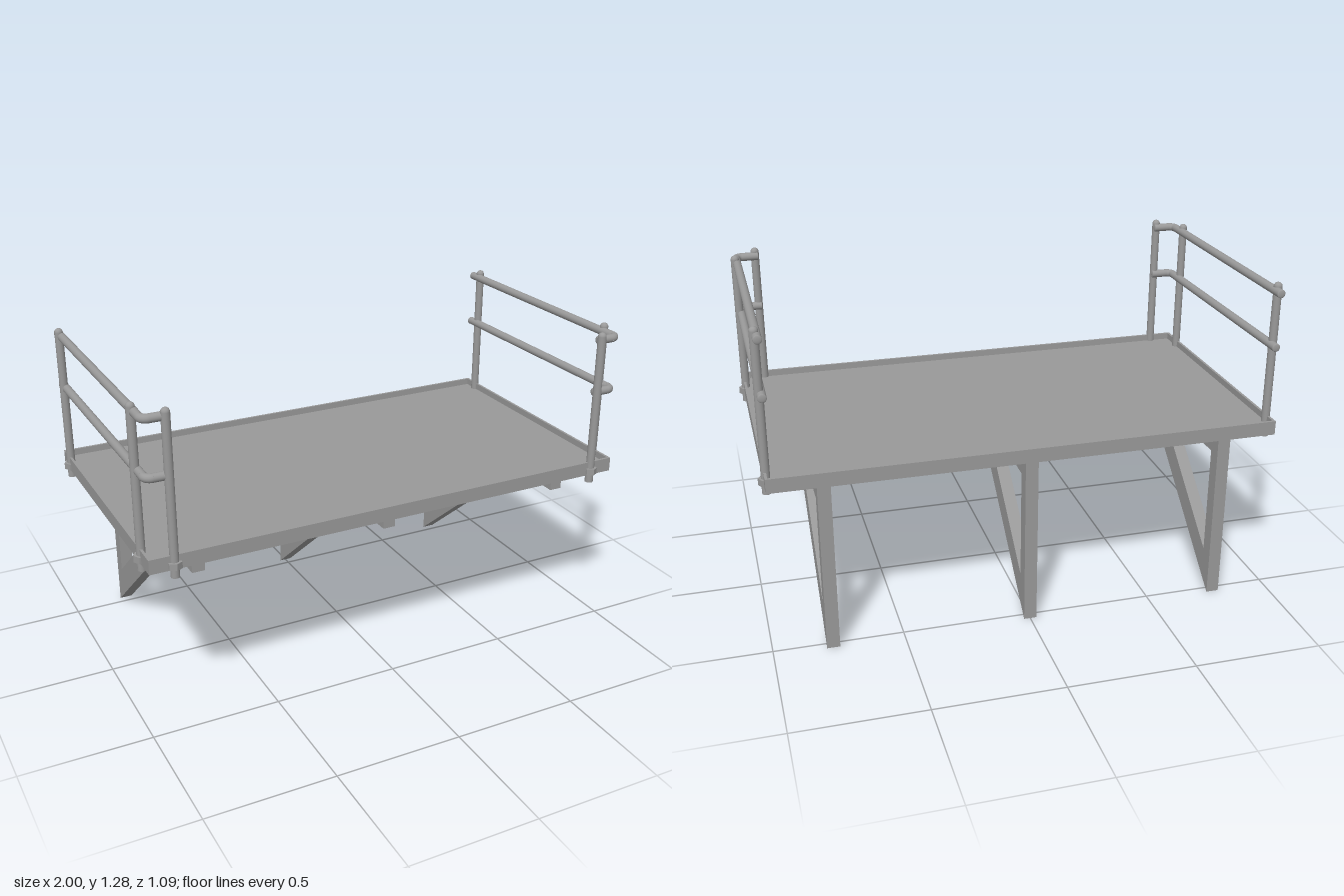
import * as THREE from 'three';

const steel = new THREE.MeshStandardMaterial({ color: 0x999999 });
steel.name = 'grey steel';

const R = 0.0165; // pipe radius
const POST_TOP = 1.264, POST_BOTTOM = 0.652;

function add(parent, name, geometry, x = 0, y = 0, z = 0) {
  const mesh = new THREE.Mesh(geometry, steel);
  mesh.name = name;
  mesh.position.set(x, y, z);
  parent.add(mesh);
  return mesh;
}

// Upright pipe with domed top and a hexagonal nut at deck level
function post(parent, x, z, nutTurn) {
  const g = new THREE.Group();
  g.name = 'railPost';
  g.position.set(x, 0, z);
  const h = POST_TOP - POST_BOTTOM;
  add(g, 'postPipe', new THREE.CylinderGeometry(R, R, h, 20), 0, POST_BOTTOM + h / 2, 0);
  add(g, 'postCap', new THREE.SphereGeometry(R, 20, 12), 0, POST_TOP, 0);
  const nutShape = new THREE.CylinderGeometry(0.028, 0.028, 0.026, 6).toNonIndexed();
  nutShape.computeVertexNormals();
  add(g, 'postNut', nutShape, 0, 0.7, 0).rotation.y = nutTurn;
  parent.add(g);
}

// Side rail with a rounded elbow and a short return along the front
function rail(parent, side, y) {
  const g = new THREE.Group();
  g.name = 'handRail';
  const x = 0.964, z = 0.51, bend = 0.025, back = -0.52, inner = 0.875;
  const long = z - bend - back, short = x - bend - inner;
  add(g, 'longRail', new THREE.CylinderGeometry(R, R, long, 20), side * x, y, back + long / 2).rotation.x = Math.PI / 2;
  add(g, 'returnRail', new THREE.CylinderGeometry(R, R, short, 20), side * (inner + short / 2), y, z).rotation.z = Math.PI / 2;
  const elbow = new THREE.TorusGeometry(bend, R, 16, 10, Math.PI / 2);
  elbow.rotateX(Math.PI / 2);
  if (side < 0) elbow.rotateY(-Math.PI / 2);
  add(g, 'railElbow', elbow, side * (x - bend), y, z - bend);
  // Rounded ends of the pipe
  for (const [ex, ez] of [[x, back], [inner, z]]) {
    const end = add(g, 'railEnd', new THREE.SphereGeometry(R, 20, 12), side * ex, y, ez);
    if (ez === back) end.scale.z = 0.25;
    else end.scale.x = 0.25;
  }
  parent.add(g);
}

function rectangle(Type, x, z0, z1) {
  const s = new Type();
  s.moveTo(-x, z0);
  s.lineTo(x, z0);
  s.lineTo(x, z1);
  s.lineTo(-x, z1);
  s.closePath();
  return s;
}

export function createModel() {
  const model = new THREE.Group();
  model.name = 'wallPlatform';

  // Shallow tray deck: rim and floor
  const rim = rectangle(THREE.Shape, 0.98, -0.546, 0.526);
  rim.holes.push(rectangle(THREE.Path, 0.97, -0.536, 0.516));
  const rimGeometry = new THREE.ExtrudeGeometry(rim, { depth: 0.056, bevelEnabled: false });
  rimGeometry.rotateX(Math.PI / 2);
  rimGeometry.scale(1, 1, 1);
  add(model, 'deckRim', rimGeometry, 0, 0.739, 0);
  add(model, 'deckFloor', new THREE.BoxGeometry(1.94, 0.03, 1.052), 0, 0.698, -0.01);

  // Triangular wall brackets
  const outline = new THREE.Shape([
    [0.45, 0.684], [-0.532, 0.684], [-0.532, 0], [0.2, 0.61], [0.45, 0.61],
  ].map(([z, y]) => new THREE.Vector2(z, y)));
  outline.holes.push(new THREE.Path([
    [0.05, 0.61], [-0.475, 0.61], [-0.475, 0.172],
  ].map(([z, y]) => new THREE.Vector2(z, y))));
  const bracket = new THREE.ExtrudeGeometry(outline, { depth: 0.05, bevelEnabled: false });
  bracket.translate(0, 0, -0.025);
  bracket.rotateY(-Math.PI / 2);
  for (const x of [-0.775, 0, 0.775]) add(model, 'supportBracket', bracket, x, 0, 0);

  // Mirrored guard rails
  for (const side of [-1, 1]) {
    const guard = new THREE.Group();
    guard.name = side < 0 ? 'rightGuardRail' : 'leftGuardRail';
    post(guard, side * 0.972, -0.475, Math.PI / 2);
    post(guard, side * 0.972, 0.42, Math.PI / 2);
    post(guard, side * 0.885, 0.52, 0);
    for (const y of [1.034, 1.247]) rail(guard, side, y);
    model.add(guard);
  }
  return model;
}
